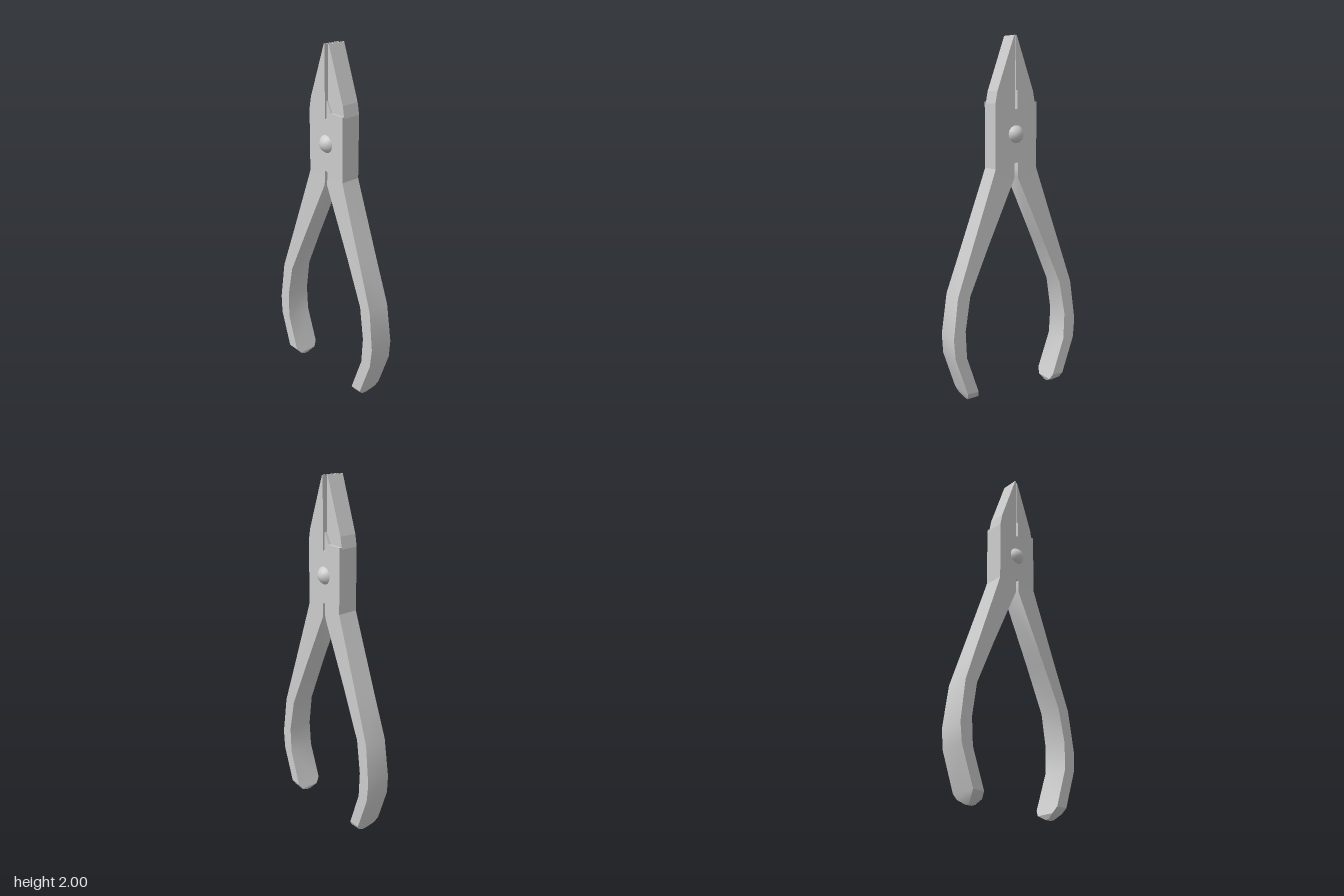
import * as THREE from 'three';
import { toCreasedNormals } from 'three/addons/utils/BufferGeometryUtils.js';

const FRONT = 0.055, BACK = -0.06, STEP = 0.044;

// Handle sections from the joint down: inner x, inner y, outer x, outer y, front z, back z
const HANDLE = [
  [0.01, 1.29, 0.13, 1.29, FRONT, BACK],
  [0.01, 1.24, 0.147, 1.24, 0.056, BACK],
  [0.18, 0.87, 0.278, 0.87, 0.063, -0.062],
  [0.295, 0.61, 0.37, 0.61, 0.07, -0.065],
  [0.328, 0.42, 0.4, 0.38, 0.076, -0.07],
  [0.322, 0.27, 0.391, 0.27, 0.08, -0.071],
  [0.25, 0.06, 0.318, 0.06, 0.084, -0.07],
  [0.239, 0.027, 0.308, 0.03, 0.058, -0.05],
  [0.25, 0.003, 0.288, 0.002, 0.018, -0.006],
];

function handleGeometry(side) {
  const pos = [], idx = [];
  const tri = (a, b, c) => (side > 0 ? idx.push(a, b, c) : idx.push(a, c, b));
  for (const [ix, iy, ox, oy, zf, zb] of HANDLE) {
    pos.push(side * ix, iy, zf, side * ox, oy, zf, side * ox, oy, zb, side * ix, iy, zb);
  }
  for (let i = 0; i < HANDLE.length - 1; i++) {
    for (let k = 0; k < 4; k++) {
      const a = i * 4 + k, b = i * 4 + ((k + 1) % 4);
      tri(a, a + 4, b + 4);
      tri(a, b + 4, b);
    }
  }
  const e = (HANDLE.length - 1) * 4;
  tri(e, e + 3, e + 2);
  tri(e, e + 2, e + 1);
  const g = new THREE.BufferGeometry();
  g.setAttribute('position', new THREE.Float32BufferAttribute(pos, 3));
  g.setIndex(idx);
  return toCreasedNormals(g, 0.45);
}

// Flat part with the given outline between two depths
function slab(points, z0, z1) {
  const shape = new THREE.Shape(points.map(([x, y]) => new THREE.Vector2(x, y)));
  const g = new THREE.ExtrudeGeometry(shape, { depth: z1 - z0, bevelEnabled: false });
  return g.translate(0, 0, z0);
}

export function createModel() {
  const model = new THREE.Group();
  const material = new THREE.MeshStandardMaterial({ color: 0xcccccc });
  const add = (name, geometry) => {
    const mesh = new THREE.Mesh(geometry, material);
    mesh.name = name;
    model.add(mesh);
    return mesh;
  };

  // Outline pieces: joint with the lower slot, jaw edge from shoulder to tip
  const joint = [[-0.13, 1.29], [-0.01, 1.29], [-0.01, 1.32], [0.01, 1.32], [0.01, 1.29], [0.13, 1.29]];
  const jaw = [[0.13, 1.64], [0.118, 1.705], [0.013, 2], [0.007, 2], [0.007, 1.61]];
  const mirror = (pts) => pts.map(([x, y]) => [-x, y]).reverse();

  // Core: joint and both jaws, with the gap between the jaws
  add('jawCore', slab([...joint, ...jaw, ...mirror(jaw)], -STEP, STEP));

  // Cheek plates cover the joint and one jaw each, leaving a recess on the other
  const cheek = [...joint, [0.13, 1.65], [0.04, 1.65], [0.007, 1.71], [0.007, 1.61], ...mirror(jaw)];
  add('frontCheek', slab(cheek, STEP, FRONT));
  add('backCheek', slab(mirror(cheek), BACK, -STEP));

  // Handles
  add('leftHandle', handleGeometry(1));
  add('rightHandle', handleGeometry(-1));

  // Domed pivot showing on both faces
  const pivot = add('pivot', new THREE.SphereGeometry(0.063, 32, 20));
  pivot.scale.z = 1.44;
  pivot.position.set(0, 1.475, -0.002);

  return model;
}
